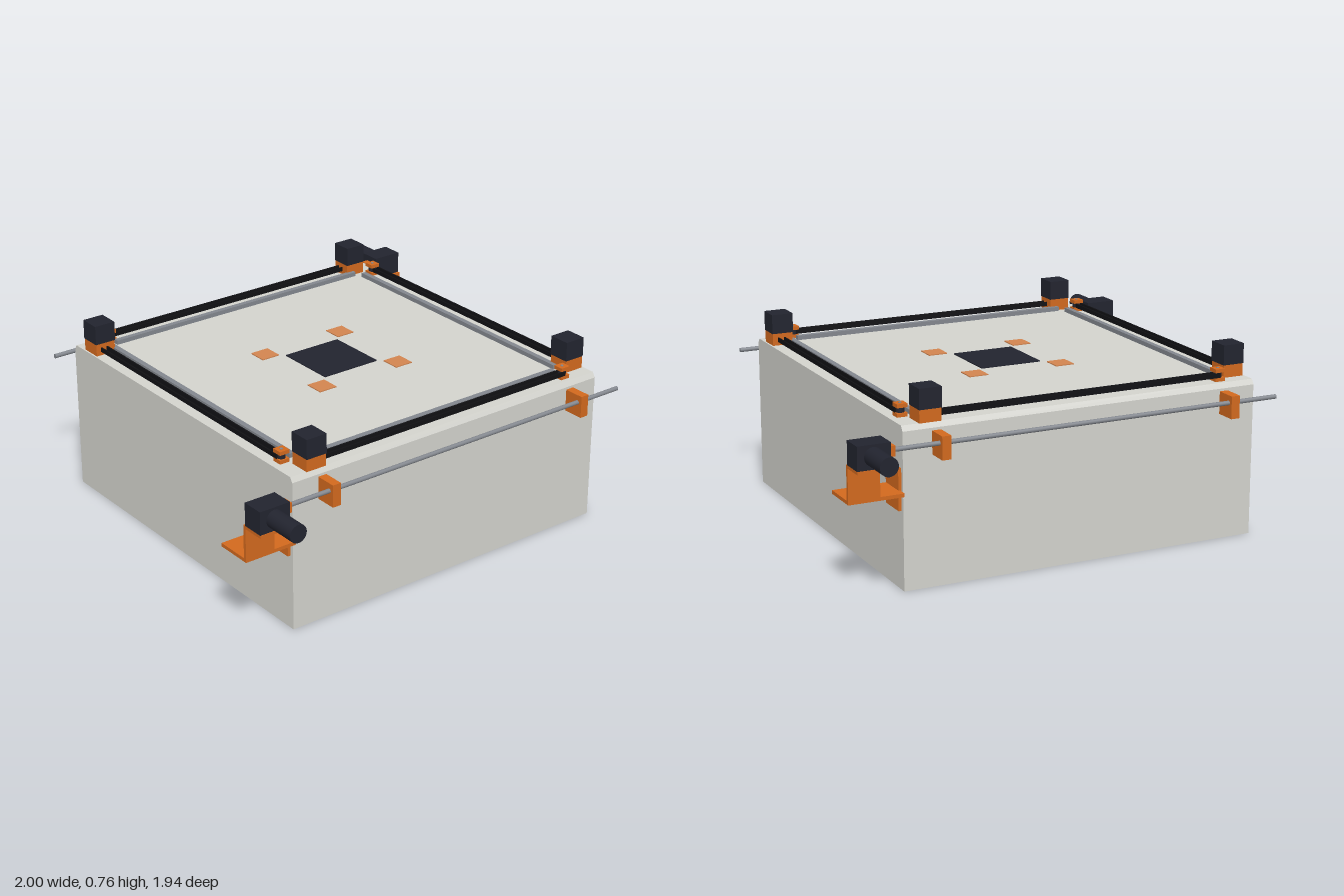
import * as THREE from 'three';

const mat = (name, color) => {
  const m = new THREE.MeshStandardMaterial({ color });
  m.name = name;
  return m;
};

export function createModel() {
  const shell = mat('pale grey', 0xd3d3cd);
  const orange = mat('orange', 0xd2691e);
  const paleOrange = mat('pale orange', 0xd28550);
  const dark = mat('dark navy', 0x22242f);
  const black = mat('black', 0x111114);
  const steel = mat('steel grey', 0x83878e);

  const model = new THREE.Group();
  model.name = 'beltTable';

  const add = (parent, name, geometry, material) => {
    const mesh = new THREE.Mesh(geometry, material);
    mesh.name = name;
    parent.add(mesh);
    return mesh;
  };
  // Box given by its extents on each axis
  const box = (parent, name, material, [x0, x1], [y0, y1], [z0, z1]) => {
    const mesh = add(parent, name, new THREE.BoxGeometry(x1 - x0, y1 - y0, z1 - z0), material);
    mesh.position.set((x0 + x1) / 2, (y0 + y1) / 2, (z0 + z1) / 2);
    return mesh;
  };

  const H = 0.745, TOP = 0.63, RECESS = 0.045, INNER = 0.69;

  // Main block, top edges bevelled along the two long sides
  const profile = new THREE.Shape([
    [-H, RECESS], [H, RECESS], [H, 0.61], [H - 0.012, TOP], [-H + 0.012, TOP], [-H, 0.61],
  ].map(([x, y]) => new THREE.Vector2(x, y)));
  add(model, 'body', new THREE.ExtrudeGeometry(profile, { depth: 2 * H, bevelEnabled: false })
    .translate(0, 0, -H), shell);

  // Rim around the recessed underside
  const square = s => [[-s, -s], [s, -s], [s, s], [-s, s]].map(([x, y]) => new THREE.Vector2(x, y));
  const rim = new THREE.Shape(square(H));
  rim.holes.push(new THREE.Path(square(INNER).reverse()));
  add(model, 'bottomRim', new THREE.ExtrudeGeometry(rim, { depth: RECESS, bevelEnabled: false })
    .rotateX(-Math.PI / 2), shell);

  // Flat markings in the middle of the table
  box(model, 'centrePlate', dark, [-0.13, 0.13], [TOP, TOP + 0.004], [-0.13, 0.13]);
  for (const x of [-0.19, 0.19]) for (const z of [-0.19, 0.19]) {
    box(model, 'pad', paleOrange, [x - 0.04, x + 0.04], [TOP, TOP + 0.004], [z - 0.04, z + 0.04]);
  }

  // Belt drive, repeated on each edge of the table
  for (let i = 0; i < 4; i++) {
    const drive = new THREE.Group();
    drive.name = 'beltDrive';
    drive.rotation.y = i * Math.PI / 2;
    model.add(drive);
    box(drive, 'guideRail', steel, [-0.62, 0.61], [TOP, 0.648], [0.635, 0.657]);
    for (const z of [0.688, 0.714]) {
      box(drive, 'belt', black, [-0.59, 0.61], [0.645, 0.663], [z - 0.003, z + 0.003]);
    }
    box(drive, 'motorMount', orange, [-0.675, -0.587], [TOP, 0.68], [0.652, 0.738]);
    box(drive, 'beltMotor', dark, [-0.676, -0.586], [0.68, 0.76], [0.65, 0.74]);
    box(drive, 'idlerBase', orange, [0.59, 0.632], [TOP, 0.645], [0.674, 0.716]);
    box(drive, 'idlerCap', orange, [0.59, 0.632], [0.665, 0.68], [0.674, 0.716]);
    const pulley = add(drive, 'idlerPulley', new THREE.CylinderGeometry(0.016, 0.016, 0.02, 20), dark);
    pulley.position.set(0.611, 0.655, 0.695);
    const pin = add(drive, 'idlerPin', new THREE.CylinderGeometry(0.006, 0.006, 0.004, 12), steel);
    pin.position.set(0.611, 0.68, 0.695);
  }

  // Side rod with its geared motor, repeated on the opposite side
  for (let i = 0; i < 2; i++) {
    const side = new THREE.Group();
    side.name = 'rodDrive';
    side.rotation.y = i * Math.PI;
    model.add(side);
    const rod = add(side, 'rod', new THREE.CylinderGeometry(0.009, 0.009, 1.65, 16), steel);
    rod.rotation.x = Math.PI / 2;
    rod.position.set(0.81, 0.57, 0.02);
    for (const z of [-0.61, 0.61]) {
      box(side, 'rodBracket', orange, [H, 0.832], [0.51, 0.6], [z - 0.018, z + 0.018]);
    }
    box(side, 'coupling', orange, [0.79, 0.83], [0.55, 0.59], [0.81, 0.845]);

    // Stepped bracket from the wall up to the motor
    box(side, 'wallPlate', orange, [0.615, 0.73], [0.307, 0.47], [H, 0.757]);
    box(side, 'lowerShelf', orange, [0.617, 0.77], [0.372, 0.386], [0.75, 0.97]);
    box(side, 'upright', orange, [0.757, 0.77], [0.386, 0.522], [0.845, 0.97]);
    box(side, 'upperShelf', orange, [0.77, 0.862], [0.51, 0.522], [0.845, 0.97]);

    box(side, 'gearbox', dark, [0.768, 0.86], [0.522, 0.615], [0.84, 0.97]);
    const motor = add(side, 'motor', new THREE.CylinderGeometry(0.036, 0.036, 0.14, 32), dark);
    motor.rotation.z = Math.PI / 2;
    motor.position.set(0.93, 0.57, 0.907);
  }
  return model;
}
